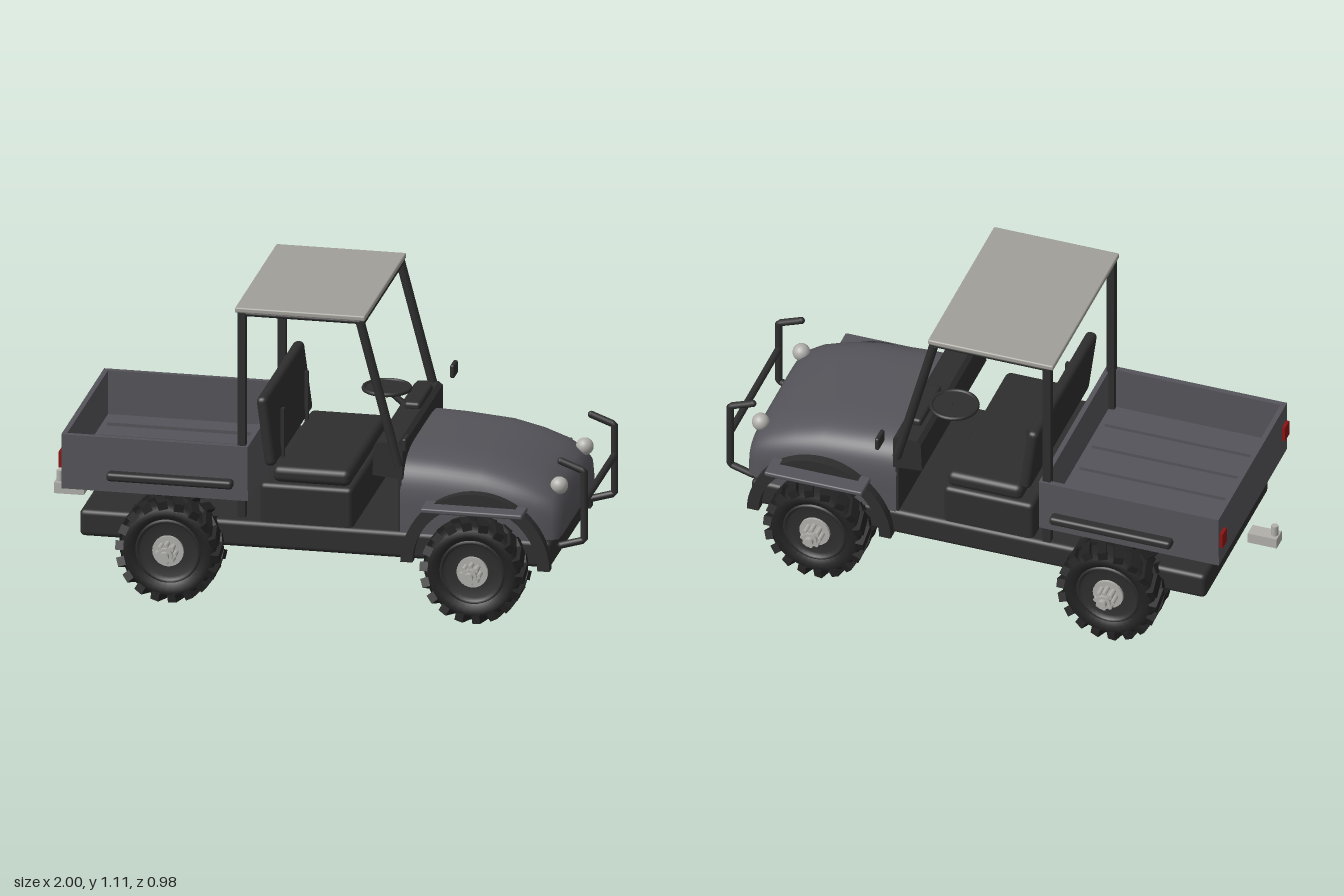
import * as THREE from 'three';
import { RoundedBoxGeometry } from 'three/addons/geometries/RoundedBoxGeometry.js';

const paint = (name, color) => Object.assign(new THREE.MeshStandardMaterial({ color }), { name });

export function createModel() {
  const model = new THREE.Group();
  model.name = 'utilityVehicle';
  const grey = paint('bodyGrey', 0x55545a);
  const black = paint('blackPlastic', 0x2e2e2e);
  const rubber = paint('tyreRubber', 0x222222);
  const roofMat = paint('roofGrey', 0xa09f98);
  const silver = paint('silverMetal', 0xb0afaa);
  const red = paint('tailLightRed', 0x8c1414);

  const add = (name, geo, mat, x = 0, y = 0, z = 0, parent = model) => {
    const m = new THREE.Mesh(geo, mat);
    m.name = name;
    m.position.set(x, y, z);
    parent.add(m);
    return m;
  };
  // Box given by its limits on each axis, optionally with rounded edges
  const box = (name, mat, [x0, x1], [y0, y1], [z0, z1], r = 0, parent = model) => {
    const s = [x1 - x0, y1 - y0, z1 - z0];
    const geo = r ? new RoundedBoxGeometry(...s, 3, r) : new THREE.BoxGeometry(...s);
    return add(name, geo, mat, (x0 + x1) / 2, (y0 + y1) / 2, (z0 + z1) / 2, parent);
  };
  // Straight round bar between two points
  const bar = (name, mat, a, b, r) => {
    const p = new THREE.Vector3(...a), q = new THREE.Vector3(...b), d = q.clone().sub(p);
    const m = add(name, new THREE.CylinderGeometry(r, r, d.length(), 12), mat, ...p.clone().add(q).multiplyScalar(0.5));
    m.quaternion.setFromUnitVectors(new THREE.Vector3(0, 1, 0), d.normalize());
    return m;
  };
  // Side profile extruded across z
  const slab = (name, mat, pts, z0, z1) => {
    const shape = new THREE.Shape(pts.map(p => new THREE.Vector2(...p)));
    return add(name, new THREE.ExtrudeGeometry(shape, { depth: z1 - z0, bevelEnabled: false }), mat, 0, 0, z0);
  };

  // Chassis and hitch
  box('chassis', black, [-0.84, 0.88], [0.2, 0.3], [-0.34, 0.34], 0.018);
  box('hitchBar', silver, [-1, -0.89], [0.245, 0.285], [-0.027, 0.027]);
  add('hitchBall', new THREE.CylinderGeometry(0.013, 0.013, 0.04, 16), silver, -0.983, 0.305, 0);

  // Cargo bed
  box('bedFloor', grey, [-0.9, -0.22], [0.385, 0.425], [-0.365, 0.365]);
  for (const s of [-1, 1]) {
    box('bedSide', grey, [-0.9, -0.22], [0.425, 0.59], [s * 0.358 - 0.01, s * 0.358 + 0.01]);
    box('bedRail', black, [-0.73, -0.27], [0.435, 0.467], [s * 0.383 - 0.022, s * 0.383 + 0.022], 0.012);
    box('tailLight', red, [-0.912, -0.9], [0.46, 0.52], [s * 0.335 - 0.022, s * 0.335 + 0.022]);
  }
  box('tailgate', grey, [-0.9, -0.882], [0.425, 0.59], [-0.349, 0.349]);
  box('bedFrontWall', grey, [-0.238, -0.22], [0.425, 0.59], [-0.349, 0.349]);
  for (let i = -2; i <= 2; i++) {
    box('bedRib', grey, [-0.86, -0.26], [0.425, 0.437], [i * 0.135 - 0.045, i * 0.135 + 0.045]);
  }

  // Bench seat
  box('seatBase', black, [-0.185, 0.155], [0.28, 0.445], [-0.33, 0.33], 0.018);
  box('seatCushion', black, [-0.14, 0.145], [0.447, 0.508], [-0.325, 0.325], 0.024);
  box('seatBack', black, [-0.185, -0.143], [0.505, 0.765], [-0.325, 0.325], 0.018).rotation.z = 0.13;
  for (const z of [-0.205, 0.205]) box('seatBelt', black, [-0.132, -0.12], [0.5, 0.69], [z - 0.01, z + 0.01]);

  // Dashboard and steering
  box('firewall', black, [0.322, 0.334], [0.3, 0.57], [-0.335, 0.335]);
  slab('dashboard', black, [[0.23, 0.51], [0.34, 0.5], [0.34, 0.625], [0.325, 0.638], [0.25, 0.635], [0.235, 0.62]], -0.345, 0.345);
  box('instrumentPod', black, [0.265, 0.325], [0.63, 0.66], [-0.255, -0.03], 0.012);
  bar('steeringColumn', black, [0.18, 0.668, -0.14], [0.26, 0.6, -0.14], 0.012);
  const wheelRim = add('steeringWheel', new THREE.TorusGeometry(0.083, 0.008, 8, 32), black, 0.18, 0.672, -0.14);
  wheelRim.rotation.x = Math.PI / 2;
  add('steeringHub', new THREE.CylinderGeometry(0.077, 0.077, 0.008, 24), black, 0.18, 0.67, -0.14);

  // Roof and its frame
  box('roof', roofMat, [-0.27, 0.205], [1.09, 1.11], [-0.357, 0.357], 0.006);
  for (const s of [-1, 1]) {
    const z = s * 0.343;
    box('rearPost', black, [-0.26, -0.231], [0.32, 1.09], [z - 0.015, z + 0.015]);
    bar('frontPost', black, [0.185, 1.085, z], [0.325, 0.55, z], 0.017);
    bar('roofRail', black, [-0.245, 1.085, z], [0.185, 1.085, z], 0.009);
    box('mirror', black, [0.358, 0.375], [0.638, 0.688], [s * 0.412 - 0.033, s * 0.412 + 0.033], 0.007);
  }
  for (const x of [-0.245, 0.185]) bar('roofCrossbar', black, [x, 1.077, -0.343], [x, 1.077, 0.343], 0.014);

  // Hood lofted from rounded sections: x, half width, bottom, top
  const stations = [
    [0.33, 0.342, 0.3, 0.585], [0.45, 0.343, 0.3, 0.58], [0.62, 0.342, 0.3, 0.565], [0.73, 0.338, 0.3, 0.538],
    [0.82, 0.33, 0.3, 0.505], [0.875, 0.315, 0.3, 0.472], [0.9, 0.3, 0.3, 0.442], [0.909, 0.27, 0.31, 0.41], [0.912, 0, 0.36, 0.36],
  ];
  const N = 36, pos = [], idx = [];
  for (const [x, w, b, t] of stations) {
    const ring = [];
    for (let j = 0; j <= N; j++) {
      const a = Math.PI * j / N, c = Math.cos(a), s = Math.max(0, Math.sin(a));
      ring.push([x, b + (t - b) * s ** 0.42, w * Math.sign(c) * Math.abs(c) ** 0.42]);
    }
    ring.push(ring[N], ring[0]); // separate flat underside
    pos.push(...ring.flat());
  }
  const row = N + 3;
  for (let i = 0; i < stations.length - 1; i++) {
    for (let j = 0; j < row - 1; j++) {
      const a = i * row + j, b = a + row;
      idx.push(a, b, b + 1, a, b + 1, a + 1);
    }
  }
  const hood = new THREE.BufferGeometry();
  hood.setAttribute('position', new THREE.Float32BufferAttribute(pos, 3));
  hood.setIndex(idx);
  hood.computeVertexNormals();
  add('hood', hood, grey);

  // Headlights, front fenders and bull bar
  const arch = new THREE.Shape();
  arch.absarc(0, 0, 0.272, 0, Math.PI, false);
  arch.absarc(0, 0, 0.228, Math.PI, 0, true);
  const archGeo = new THREE.ExtrudeGeometry(arch, { depth: 0.04, bevelEnabled: false, curveSegments: 24 });
  for (const s of [-1, 1]) {
    add('headlight', new THREE.SphereGeometry(0.032, 20, 14), silver, 0.885, 0.475, s * 0.218);
    add('fenderArch', archGeo, black, 0.61, 0.2, s * 0.355 - 0.02);
    box('fenderPlate', grey, [0.425, 0.795], [0.41, 0.428], [s * 0.388 - 0.05, s * 0.388 + 0.05], 0.006);
    const z = s * 0.26;
    const path = new THREE.CurvePath();
    const pts = [[0.9, 0.582], [0.985, 0.55], [0.985, 0.29], [0.9, 0.265]].map(p => new THREE.Vector3(...p, z));
    for (let i = 0; i < 3; i++) path.add(new THREE.LineCurve3(pts[i], pts[i + 1]));
    add('bullBarUpright', new THREE.TubeGeometry(path, 48, 0.013, 10), black);
    for (const p of [pts[0], pts[3]]) add('bullBarEnd', new THREE.SphereGeometry(0.013, 10, 8), black, ...p);
  }
  bar('bullBarCrossbar', black, [0.985, 0.435, -0.26], [0.985, 0.435, 0.26], 0.013);

  // Wheels, built with the outer face towards +z
  const lathe = pts => new THREE.LatheGeometry(pts.map(p => new THREE.Vector2(...p)), 36).rotateX(Math.PI / 2);
  const tyreGeo = lathe([[0.115, -0.06], [0.135, -0.074], [0.16, -0.074], [0.174, -0.06], [0.176, 0],
    [0.174, 0.06], [0.16, 0.074], [0.135, 0.074], [0.115, 0.06]]);
  const rimGeo = lathe([[0.12, 0.055], [0.118, 0.068], [0.108, 0.068], [0.1, 0.052], [0.05, 0.056], [0, 0.056]]);
  const disc = (r, z0, z1, n = 24) => new THREE.CylinderGeometry(r, r, z1 - z0, n).rotateX(Math.PI / 2).translate(0, 0, (z0 + z1) / 2);
  const lugGeo = new THREE.BoxGeometry(0.034, 0.03, 0.086);
  const makeWheel = (x, s) => {
    const wheel = new THREE.Group();
    wheel.name = x > 0 ? 'frontWheel' : 'rearWheel';
    wheel.position.set(x, 0.195, s * 0.356);
    if (s < 0) wheel.rotation.y = Math.PI;
    model.add(wheel);
    const put = (name, geo, mat, px = 0, py = 0, pz = 0) => add(name, geo, mat, px, py, pz, wheel);
    put('tyre', tyreGeo, rubber).material.side = THREE.DoubleSide;
    put('rim', rimGeo, black).material.side = THREE.DoubleSide;
    put('innerDisc', disc(0.118, -0.06, -0.045, 32), silver);
    put('hubPlate', disc(0.057, 0.05, 0.066), silver);
    put('hub', disc(0.027, 0.06, 0.118), silver);
    put('hubCap', disc(0.016, 0.11, 0.136, 16), silver);
    for (let i = 0; i < 8; i++) {
      const a = i * Math.PI / 4;
      put('wheelNut', disc(0.009, 0.06, 0.11, 8), silver, 0.031 * Math.cos(a), 0.031 * Math.sin(a));
    }
    // Staggered chevron tread
    for (let i = 0; i < 36; i++) {
      const a = i * Math.PI / 18, side = i % 2 ? 1 : -1;
      const lug = put('treadLug', lugGeo, rubber, -0.174 * Math.sin(a), 0.174 * Math.cos(a), side * 0.037);
      lug.rotation.set(0, side * 0.35, a, 'ZYX');
    }
  };
  for (const x of [-0.5, 0.61]) for (const s of [-1, 1]) makeWheel(x, s);

  return model;
}
